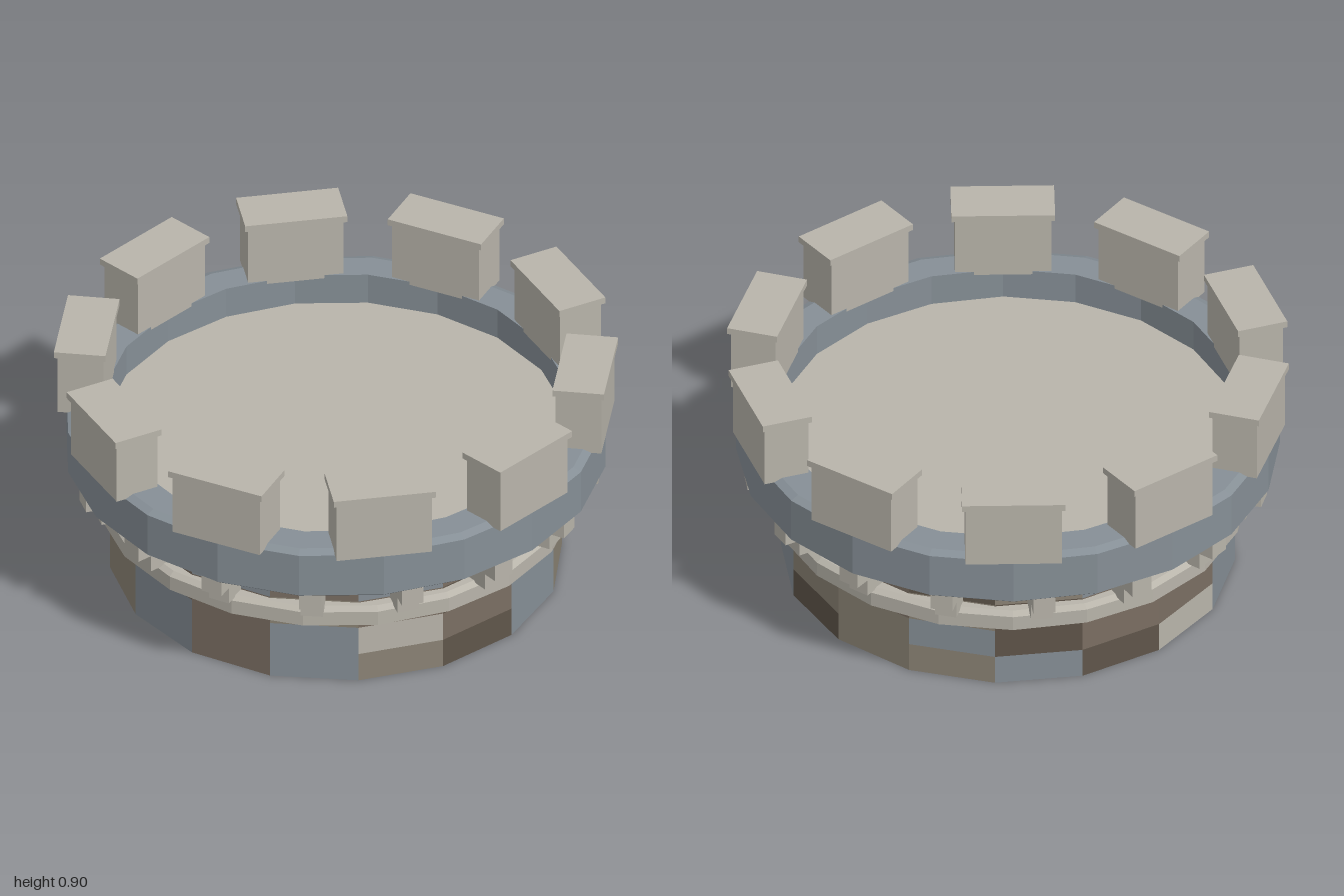
import * as THREE from 'three';

const mat = (name, color) => {
  const m = new THREE.MeshStandardMaterial({ color });
  m.name = name;
  return m;
};

// Unshared vertices give every facet its own flat normal
const flat = (geo) => {
  const g = geo.toNonIndexed();
  g.computeVertexNormals();
  return g;
};

export function createModel() {
  const root = new THREE.Group();
  root.name = 'towerTop';

  const stone = mat('paleStone', 0xb8b4aa);
  const blue = mat('blueGreyStone', 0x868f96);
  const taupe = mat('taupeStone', 0x8b8375);
  const brown = mat('brownStone', 0x7a6e62);
  const dark = mat('darkBrownStone', 0x5f554a);
  const bricks = [stone, blue, taupe, brown, dark];

  const add = (parent, name, geo, material, x = 0, y = 0, z = 0) => {
    const m = new THREE.Mesh(geo, material);
    m.name = name;
    m.position.set(x, y, z);
    parent.add(m);
    return m;
  };
  const ring = (name, sides, profile, material) =>
    add(root, name, flat(new THREE.LatheGeometry(profile.map(([r, y]) => new THREE.Vector2(r, y)), sides)), material);

  // Drum: four courses of sixteen stones, one letter per stone, counted from the front
  const R = 0.81, SIDES = 16, COURSE = 0.1125;
  const courses = ['DBTBDTTBDSBTBWBT', 'WBTBTTBDWWBTBWBS', 'DDWBDWTDWDWBWWTW', 'WDBWDWDTBWDTWBWB'];
  courses.forEach((row, k) => {
    const geo = new THREE.CylinderGeometry(R, R, COURSE, SIDES, 1, true);
    geo.clearGroups();
    [...row].forEach((c, i) => geo.addGroup(i * 6, 6, 'SBTWD'.indexOf(c)));
    add(root, 'wallCourse', flat(geo), bricks, 0, (k + 0.5) * COURSE, 0);
  });
  add(root, 'wallUnderside', new THREE.CircleGeometry(R, SIDES).rotateX(Math.PI / 2), dark);

  // Ledge under the corbels
  ring('ledge', 20, [[0.78, 0.262], [0.855, 0.262], [0.855, 0.318], [0.835, 0.333], [0.78, 0.333]], stone);

  // Parapet ring with small chamfers
  ring('parapetRing', 20, [
    [0.78, 0.453], [0.95, 0.453], [0.97, 0.468], [0.97, 0.637], [0.94, 0.65], [0.83, 0.65], [0.83, 0.5],
  ], blue);

  // Floor inside the parapet
  add(root, 'floor', new THREE.CircleGeometry(0.832, 20).rotateX(-Math.PI / 2), stone, 0, 0.53, 0);

  // Places a group facing outwards at an angle from the front
  const spoke = (name, angle) => {
    const g = new THREE.Group();
    g.name = name;
    g.rotation.y = angle;
    root.add(g);
    return g;
  };

  // Stepped corbels
  const lower = new THREE.BoxGeometry(0.08, 0.066, 0.12);
  const upper = new THREE.BoxGeometry(0.08, 0.066, 0.175);
  for (let i = 0; i < 16; i++) {
    const g = spoke('corbel', ((i + 0.5) * Math.PI) / 8);
    add(g, 'corbelLower', lower, stone, 0, 0.358, 0.825);
    add(g, 'corbelUpper', upper, stone, 0, 0.423, 0.855);
  }

  // Merlons with overhanging caps
  const body = new THREE.BoxGeometry(0.345, 0.24, 0.165);
  const cap = new THREE.BoxGeometry(0.37, 0.025, 0.186);
  for (let i = 0; i < 10; i++) {
    const g = spoke('merlon', ((i + 0.5) * Math.PI) / 5);
    add(g, 'merlonBody', body, stone, 0, 0.757, 0.896);
    add(g, 'merlonCap', cap, stone, 0, 0.887, 0.897);
  }

  return root;
}
